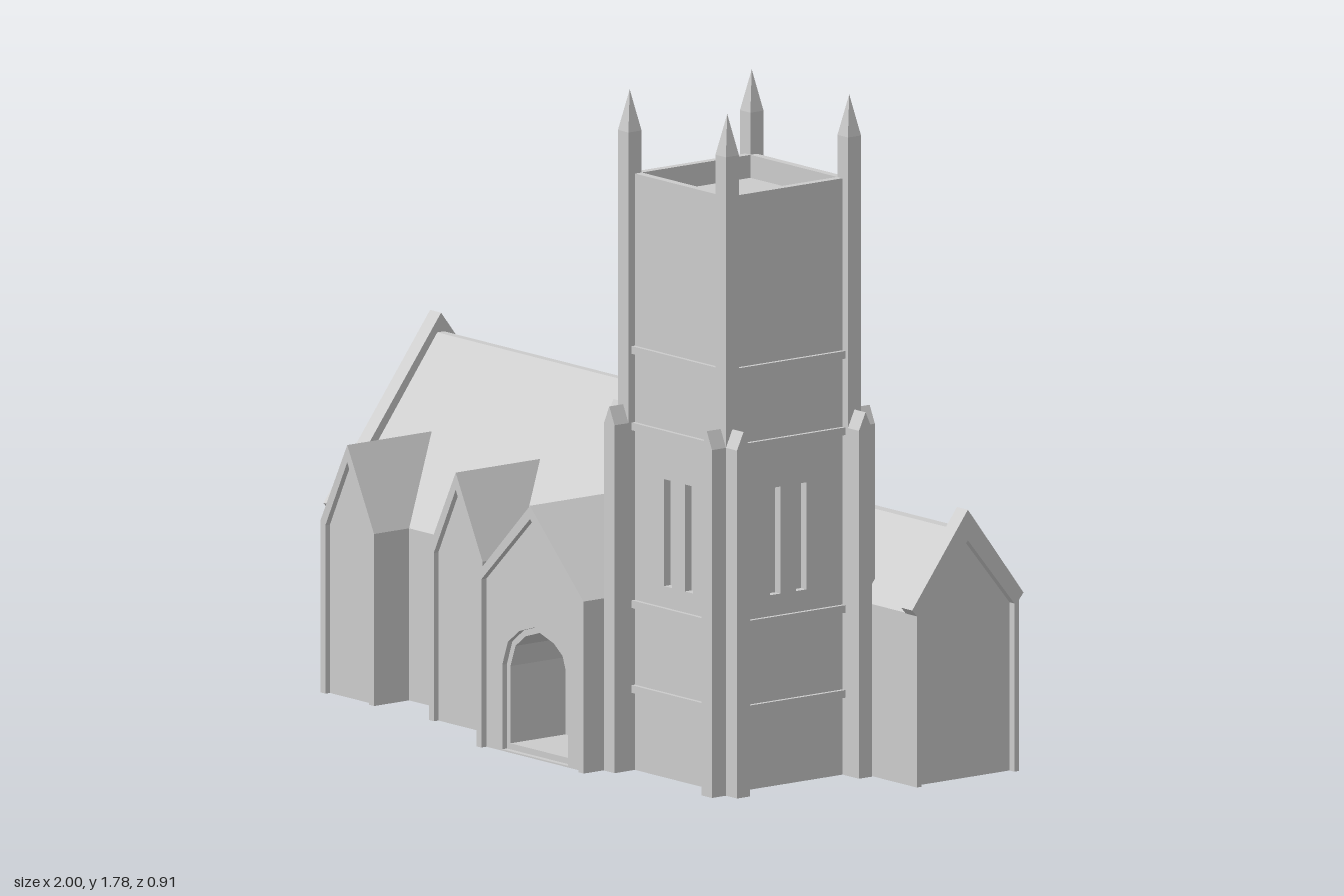
import * as THREE from 'three';

const stone = new THREE.MeshStandardMaterial({ color: 0xcccccc, flatShading: true });

export function createModel() {
  const model = new THREE.Group();
  model.name = 'church';

  const add = (name, geometry, parent = model) => {
    const mesh = new THREE.Mesh(geometry, stone);
    mesh.name = name;
    parent.add(mesh);
    return mesh;
  };
  const group = (name) => {
    const g = new THREE.Group();
    g.name = name;
    model.add(g);
    return g;
  };
  const toPoints = (pts) => pts.map(([a, b]) => new THREE.Vector2(a, b));

  // Prism with an [x, y] section, running from z0 to z1
  const prismZ = (pts, z0, z1, holes = []) => {
    const shape = new THREE.Shape(toPoints(pts));
    holes.forEach((h) => shape.holes.push(new THREE.Path(toPoints(h))));
    return new THREE.ExtrudeGeometry(shape, { depth: z1 - z0, bevelEnabled: false }).translate(0, 0, z0);
  };
  // Prism with a [z, y] section, running from x0 to x1
  const prismX = (pts, x0, x1) =>
    prismZ(pts.map(([z, y]) => [-z, y]), x0, x1).rotateY(Math.PI / 2);
  const box = (x0, x1, y0, y1, z0, z1) =>
    new THREE.BoxGeometry(x1 - x0, y1 - y0, z1 - z0)
      .translate((x0 + x1) / 2, (y0 + y1) / 2, (z0 + z1) / 2);

  // Gabled outline, and a border band following legs and gable
  const house = (c, w, eave, apex) =>
    [[c - w, 0], [c + w, 0], [c + w, eave], [c, apex], [c - w, eave]];
  const border = (c, w, eave, apex, t, drop) => [
    [c - w, 0], [c - w + t, 0], [c - w + t, eave - 0.01], [c, apex - drop],
    [c + w - t, eave - 0.01], [c + w - t, 0], [c + w, 0],
    [c + w, eave], [c, apex], [c - w, eave],
  ];

  // Nave and chancel: long blocks with a narrow flat ridge
  const hall = (z0, z1, r0, r1, top) =>
    [[z0, 0], [z1, 0], [z1, 0.45], [r1, top], [r0, top], [z0, 0.45]];
  add('nave', prismX(hall(-0.44, 0.225, -0.117, -0.095, 0.875), -0.98, 0.33));
  add('chancel', prismX(hall(-0.44, -0.105, -0.29, -0.26, 0.65), 0.33, 0.98));

  // End gables: border frame plus raised coping
  const coping = (c, w, apex) => [
    [c - w, 0.465], [c - w + 0.022, 0.44], [c, apex - 0.065],
    [c + w - 0.022, 0.44], [c + w, 0.465], [c, apex],
  ];
  const ends = [
    ['nave', -0.1075, 0.3325, 0.35, 0.925, 0.88, -1, -0.955, -1, -0.98],
    ['chancel', -0.2725, 0.1675, 0.1825, 0.705, 0.66, 0.955, 1, 0.98, 1],
  ];
  for (const [name, c, w, cw, top, apex, x0, x1, f0, f1] of ends) {
    add(name + 'GableFrame', prismX(border(c, w, 0.45, apex, 0.015, 0.035), f0, f1));
    add(name + 'Coping', prismX(coping(c, cw, top), x0, x1));
  }

  // Two gabled side bays
  for (const x of [-0.78, -0.335]) {
    const bay = group('sideBay');
    add('bayBody', prismZ(house(x, 0.11, 0.45, 0.665), 0.05, 0.325), bay);
    add('bayFrame', prismZ(border(x, 0.11, 0.45, 0.665, 0.02, 0.045), 0.325, 0.34), bay);
  }

  // Porch with a deep pointed doorway
  const porch = group('porch');
  const px = 0.11;
  const doorway = (w, spring, top, bottom) => {
    const rise = top - spring;
    const side = [[1, 0], [0.83, 0.53], [0.48, 0.83]].map(([a, b]) => [a * w, spring + b * rise]);
    return [
      [px - w, bottom], [px + w, bottom],
      ...side.map(([a, y]) => [px + a, y]), [px, top],
      ...side.reverse().map(([a, y]) => [px - a, y]),
    ];
  };
  const open = doorway(0.135, 0.225, 0.345, 0.004);
  const inner = doorway(0.12, 0.222, 0.328, 0.02);
  add('porchRear', prismZ(house(px, 0.22, 0.45, 0.665), 0.05, 0.24), porch);
  add('porchPassage', prismZ(house(px, 0.22, 0.45, 0.665), 0.24, 0.42, [inner]), porch);
  add('porchFront', prismZ(house(px, 0.22, 0.45, 0.665), 0.42, 0.435, [open]), porch);
  add('porchFrame', prismZ(border(px, 0.22, 0.45, 0.665, 0.02, 0.035), 0.435, 0.452), porch);

  // Tower
  const tower = group('tower');
  tower.position.set(0.554, 0, 0.12);
  const half = 0.2, thick = 0.022, top = 1.56;
  const core = half - thick;
  add('towerCore', box(-core, core, 0, 1.5, -core, core), tower);

  // Walls, rising past the roof as a parapet; slit windows on the two open sides
  const slit = (x) => [[x - 0.017, 0.5], [x + 0.017, 0.5], [x + 0.017, 0.78], [x - 0.017, 0.78]];
  for (let i = 0; i < 4; i++) {
    const holes = i < 2 ? [slit(-0.043), slit(0.043)] : [];
    const outline = [[-half, 0], [half, 0], [half, top], [-half, top]];
    add('towerWall', prismZ(outline, core, half, holes), tower).rotation.y = i * Math.PI / 2;
  }
  // String courses
  for (const y of [0.213, 0.435, 0.9, 1.1]) {
    add('stringCourse', box(-0.211, 0.211, y - 0.01, y + 0.01, -0.211, 0.211), tower);
  }

  // Corner shafts with spires, each flanked by two gabled buttresses
  for (const sx of [-1, 1]) {
    for (const sz of [-1, 1]) {
      const x = sx * half, z = sz * half, r = 0.0215;
      add('cornerShaft', box(x - r, x + r, 0, 1.67, z - r, z + r), tower);
      add('spire', new THREE.ConeGeometry(r * Math.SQRT2, 0.107, 4)
        .rotateY(Math.PI / 4).translate(x, 1.7235, z), tower);
      const [a0, a1] = [0.2, 0.267];
      add('buttress', prismZ(house(x, r, 0.91, 0.956),
        sz > 0 ? a0 : -a1, sz > 0 ? a1 : -a0), tower);
      add('buttress', prismX(house(z, r, 0.91, 0.956),
        sx > 0 ? a0 : -a1, sx > 0 ? a1 : -a0), tower);
    }
  }
  return model;
}
